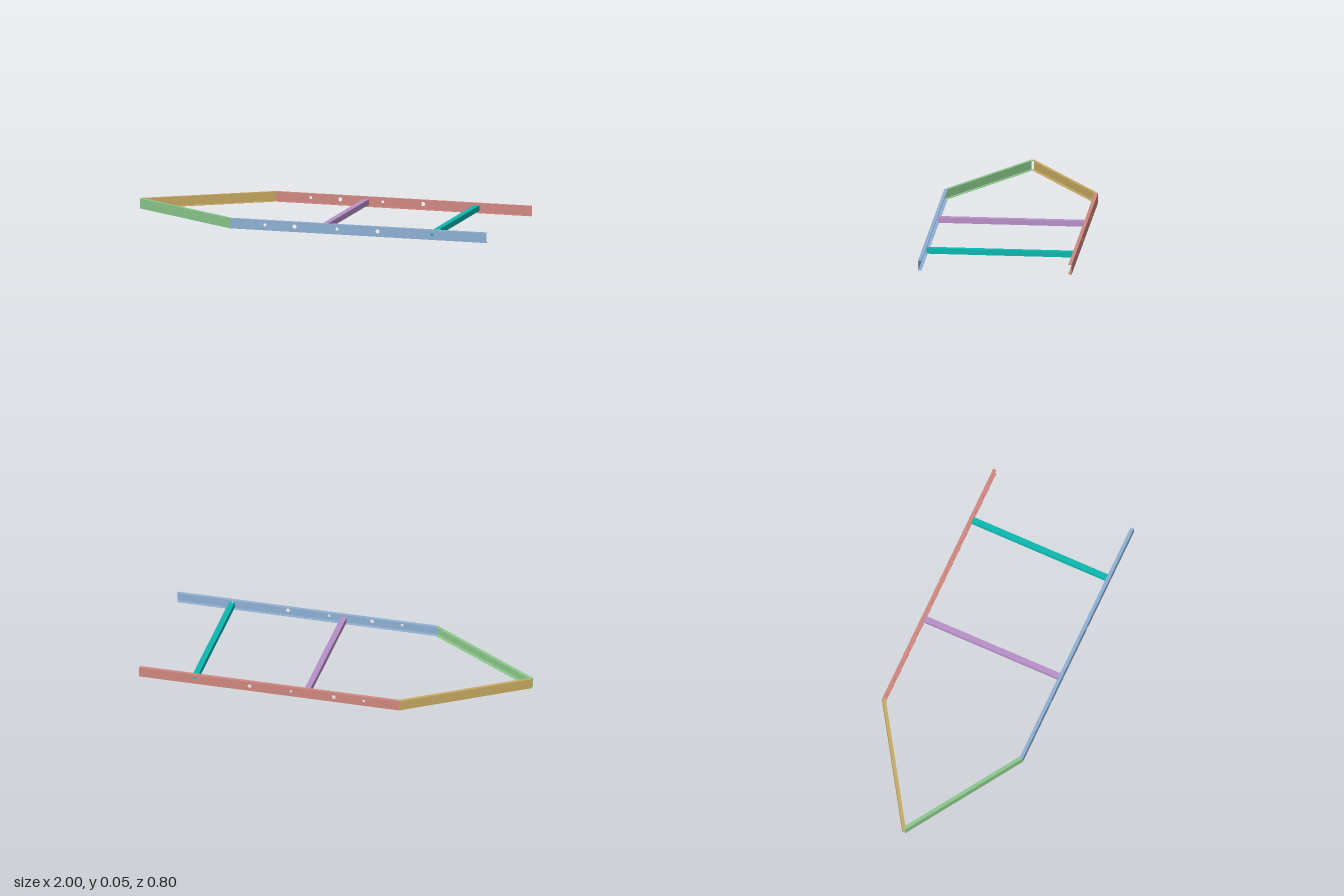
import * as THREE from 'three';

const H = 0.053;  // channel height
const W = 0.018;  // flange width
const T = 0.002;  // wall thickness

const mat = (name, color) => {
  const m = new THREE.MeshStandardMaterial({ color });
  m.name = name;
  return m;
};

// C-channel from one outer corner to the next [x, z], open to the inside;
// holes are [distance along the web, radius]
function channel(name, material, [x0, z0], [x1, z1], holes = []) {
  const length = Math.hypot(x1 - x0, z1 - z0);
  const group = new THREE.Group();
  group.name = name;

  const shape = new THREE.Shape([
    new THREE.Vector2(0, 0), new THREE.Vector2(length, 0),
    new THREE.Vector2(length, H), new THREE.Vector2(0, H),
  ]);
  for (const [x, r] of holes) {
    shape.holes.push(new THREE.Path().absarc(x, H / 2 + 0.002, r, 0, Math.PI * 2, true));
  }
  const web = new THREE.Mesh(
    new THREE.ExtrudeGeometry(shape, { depth: T, bevelEnabled: false, curveSegments: 16 }), material);
  web.name = name + 'Web';
  web.position.z = -T;
  group.add(web);

  for (const [label, y] of [['Bottom', T / 2], ['Top', H - T / 2]]) {
    const flange = new THREE.Mesh(new THREE.BoxGeometry(length, T, W - T), material);
    flange.name = name + label + 'Flange';
    flange.position.set(length / 2, y, -(W + T) / 2);
    group.add(flange);
  }

  group.position.set(x0, 0, z0);
  group.rotation.y = Math.atan2(z0 - z1, x1 - x0);
  return group;
}

export function createModel() {
  const model = new THREE.Group();
  model.name = 'trailerFrame';

  const blue = mat('blue', 0x8fb0d4);
  const red = mat('red', 0xd08880);
  const green = mat('green', 0x8cc98c);
  const gold = mat('gold', 0xc8aa62);
  const purple = mat('purple', 0xb890c8);
  const teal = mat('teal', 0x0cb8b0);

  // Side rails with matching holes
  const knee = -0.39;
  const holes = [[-0.2, 0.008], [-0.04, 0.011], [0.19, 0.008], [0.41, 0.011], [0.705, 0.008]];
  model.add(channel('frontRail', blue, [knee, 0.4], [1, 0.4], holes.map(([x, r]) => [x - knee, r])));
  model.add(channel('backRail', red, [1, -0.4], [knee, -0.4], holes.map(([x, r]) => [1 - x, r])));

  // Drawbar arms crossing at the tip
  model.add(channel('frontArm', green, [-1, 0.008], [knee, 0.4]));
  model.add(channel('backArm', gold, [knee, -0.4], [-1, -0.008]));

  // Cross members between the rails
  for (const [name, material, x] of [['middleCrossbar', purple, 0.107], ['endCrossbar', teal, 0.705]]) {
    const bar = new THREE.Mesh(new THREE.BoxGeometry(0.03, 0.029, 0.764), material);
    bar.name = name;
    bar.position.set(x, 0.0275, 0);
    model.add(bar);
  }
  return model;
}
